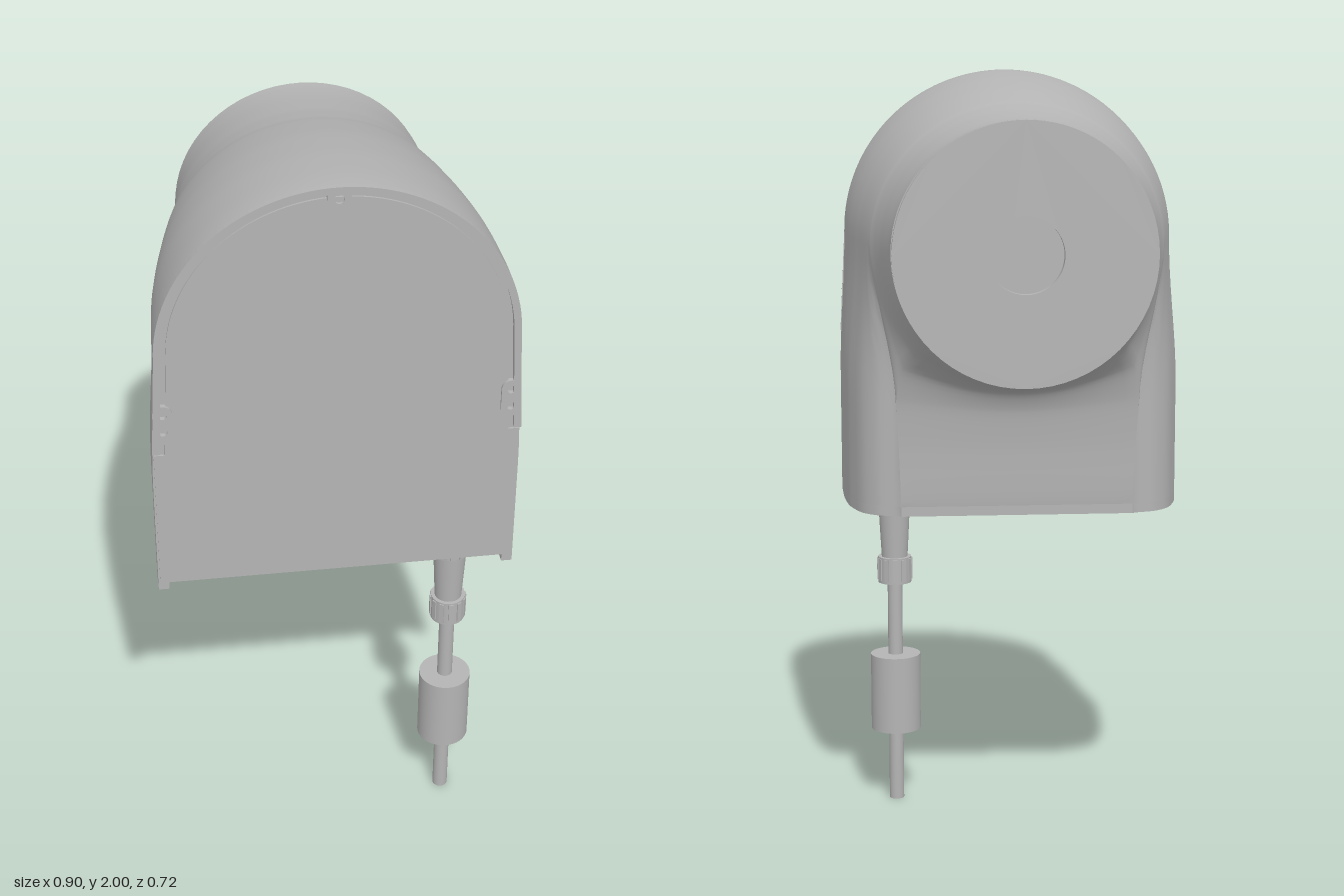
import * as THREE from 'three';
import { toCreasedNormals } from 'three/addons/utils/BufferGeometryUtils.js';

const grey = new THREE.MeshStandardMaterial({ color: 0xb4b4b4 });
grey.name = 'plain grey';

// Housing key sections: z, dome half-width, top y, base half-width, bottom y, squareness of lower half
const KEYS = [
  [0.345, 0.435, 2.0, 0.45, 0.895, 1],
  [0.2, 0.428, 1.988, 0.446, 0.895, 1],
  [0.07, 0.41, 1.967, 0.433, 0.895, 1],
  [0.02, 0.4, 1.957, 0.42, 0.895, 1],
  [-0.03, 0.39, 1.945, 0.4, 0.895, 1],
  [-0.07, 0.381, 1.935, 0.36, 0.895, 1],
  [-0.093, 0.375, 1.929, 0.3, 0.895, 1],
  [-0.1, 0.373, 1.927, 0.31, 1.05, 0.95],
  [-0.113, 0.368, 1.923, 0.335, 1.15, 0.75],
  [-0.14, 0.36, 1.917, 0.352, 1.197, 0.4],
  [-0.2, 0.346, 1.905, 0.345, 1.217, 0.1],
  [-0.34, 0.327, 1.89, 0.327, 1.238, 0],
];
const YC = 1.57;

// Smooth interpolation between key sections without overshoot
function slope(i, c) {
  if (i === 0 || i === KEYS.length - 1) return 0;
  const d = (j) => (KEYS[j + 1][c] - KEYS[j][c]) / (KEYS[j + 1][0] - KEYS[j][0]);
  const p = d(i - 1), q = d(i);
  return p * q <= 0 ? 0 : (2 * p * q) / (p + q);
}
function station(i, t) {
  const A = KEYS[i], B = KEYS[i + 1], h = B[0] - A[0];
  return A.map((v, c) => c === 0 ? v + h * t
    : v * (1 + 2 * t) * (1 - t) ** 2 + B[c] * t * t * (3 - 2 * t)
      + h * (slope(i, c) * t * (1 - t) ** 2 + slope(i + 1, c) * t * t * (t - 1)));
}
const STATIONS = [];
for (let i = 0; i < KEYS.length - 1; i++)
  for (let k = 0; k < 5; k++) STATIONS.push(station(i, k / 5));
STATIONS.push(KEYS[KEYS.length - 1]);

// One closed section: round dome above, square-to-round lower half
const N = 96;
function sectionPoint([z, a, top, w, bottom, k], j) {
  const t = (j / N) * Math.PI * 2, c = Math.cos(t), s = Math.sin(t);
  if (j <= N / 2) return [a * c, YC + (top - YC) * s, z];
  const m = Math.max(Math.abs(c), Math.abs(s));
  const u = THREE.MathUtils.lerp(c, c / m, k), v = THREE.MathUtils.lerp(-s, -s / m, k);
  const depth = (YC - bottom) * v;
  const width = THREE.MathUtils.lerp(a, w, THREE.MathUtils.smoothstep(depth, 0, 0.38));
  return [u * width, YC - depth, z];
}

function housingGeometry() {
  const pos = [], idx = [];
  for (const st of STATIONS) for (let j = 0; j < N; j++) pos.push(...sectionPoint(st, j));
  for (let i = 0; i < STATIONS.length - 1; i++)
    for (let j = 0; j < N; j++) {
      const a = i * N + j, b = i * N + (j + 1) % N;
      idx.push(a, a + N, b, b, a + N, b + N);
    }
  // front wall
  pos.push(0, 1.45, KEYS[0][0]);
  for (let j = 0; j < N; j++) idx.push(STATIONS.length * N, j, (j + 1) % N);
  const g = new THREE.BufferGeometry();
  g.setAttribute('position', new THREE.Float32BufferAttribute(pos, 3));
  g.setIndex(idx);
  return toCreasedNormals(g, 0.75);
}

const extrude = (shape, depth) =>
  new THREE.ExtrudeGeometry(shape, { depth, bevelEnabled: false, curveSegments: 32 });

function circleHole(shape, x, y, r) {
  shape.holes.push(new THREE.Path().absarc(x, y, r, 0, Math.PI * 2, true));
}

export function createModel() {
  const model = new THREE.Group();
  const add = (name, geo, x = 0, y = 0, z = 0) => {
    const m = new THREE.Mesh(geo, grey);
    m.name = name;
    m.position.set(x, y, z);
    model.add(m);
    return m;
  };

  add('housing', housingGeometry());

  // Front plate and the raised arch around it
  const plate = new THREE.Shape();
  plate.moveTo(-0.445, 0.895).lineTo(0.445, 0.895).lineTo(0.445, 1.29).lineTo(0.418, 1.29).lineTo(0.405, YC);
  plate.absellipse(0, YC, 0.405, 0.4, 0, Math.PI, false);
  plate.lineTo(-0.418, 1.29).lineTo(-0.445, 1.29);
  add('frontPlate', extrude(plate, 0.006), 0, 0, 0.344);

  const arch = new THREE.Shape();
  arch.moveTo(0.449, 1.3).lineTo(0.435, YC);
  arch.absellipse(0, YC, 0.435, 0.43, 0, Math.PI, false);
  arch.lineTo(-0.449, 1.3).lineTo(-0.431, 1.3).lineTo(-0.417, YC);
  arch.absellipse(0, YC, 0.417, 0.412, Math.PI, 0, true);
  arch.lineTo(0.431, 1.3);
  add('frontArch', extrude(arch, 0.016), 0, 0, 0.344);

  // Screw tabs on the arch
  for (const side of [-1, 1]) {
    const tab = new THREE.Shape();
    tab.absarc(0, 0.028, 0.024, 0, Math.PI, false);
    tab.absarc(0, -0.028, 0.024, Math.PI, Math.PI * 2, false);
    circleHole(tab, 0, 0.026, 0.011);
    circleHole(tab, 0, -0.022, 0.011);
    add('sideScrewTab', extrude(tab, 0.013), side * 0.42, 1.385, 0.344);
  }
  const topTab = new THREE.Shape();
  topTab.moveTo(-0.028, 0.018).lineTo(-0.028, 0);
  topTab.absarc(0, 0, 0.028, Math.PI, Math.PI * 2, false);
  topTab.lineTo(0.028, 0.018);
  circleHole(topTab, 0, -0.002, 0.012);
  add('topScrewTab', extrude(topTab, 0.013), 0, 1.97, 0.344);

  // Rear disc with a shallow centre recess
  const disc = new THREE.Shape().absarc(0, 0, 0.325, 0, Math.PI * 2, false);
  circleHole(disc, 0, 0, 0.095);
  add('rearDisc', toCreasedNormals(extrude(disc, 0.024), 0.5), 0, 1.565, -0.36);
  const floor = add('rearRecess', new THREE.CircleGeometry(0.1, 40), 0, 1.565, -0.337);
  floor.rotation.y = Math.PI;

  // Lip around the sides and back of the underside
  const half = STATIONS.filter((s) => s[0] >= -0.0931).map((s) => [s[3], s[0]]);
  const outer = [...half, ...half.map(([x, z]) => [-x, z]).reverse()];
  const inner = outer.map(([x, z]) => [x * 0.94, 0.345 + (z - 0.345) * 0.94]).reverse();
  const lip = new THREE.Shape([...outer, ...inner].map(([x, z]) => new THREE.Vector2(x, -z)));
  const lipGeo = extrude(lip, 0.026);
  lipGeo.rotateX(-Math.PI / 2);
  add('baseLip', toCreasedNormals(lipGeo, 0.5), 0, 0.87, 0);

  // Underside fittings
  for (const z of [0.225, 0.265]) add('slotRail', new THREE.BoxGeometry(0.36, 0.016, 0.008), 0.03, 0.889, z);
  for (const x of [-0.15, 0.21]) add('slotEnd', new THREE.BoxGeometry(0.008, 0.016, 0.048), x, 0.889, 0.245);
  add('latch', new THREE.BoxGeometry(0.09, 0.026, 0.04), -0.29, 0.884, 0.25);
  add('latchBase', new THREE.BoxGeometry(0.16, 0.012, 0.05), -0.32, 0.89, 0.25);
  add('roundPlug', new THREE.CylinderGeometry(0.04, 0.04, 0.032, 32), -0.3, 0.881, 0.01);
  add('sideBlock', new THREE.BoxGeometry(0.1, 0.014, 0.08), 0.29, 0.89, 0.05);

  // Cable with its connector and sleeve
  const rod = (name, rTop, rBottom, y0, y1, sides = 32) =>
    add(name, new THREE.CylinderGeometry(rTop, rBottom, y1 - y0, sides), 0.31, (y0 + y1) / 2, 0.245);
  rod('connectorNut', 0.044, 0.044, 0.835, 0.9);
  rod('connectorBody', 0.043, 0.035, 0.685, 0.836);
  rod('connectorRing', 0.045, 0.045, 0.618, 0.69);
  for (let i = 0; i < 12; i++) {
    const a = (i / 12) * Math.PI * 2;
    for (const [y, h] of [[0.866, 0.06], [0.656, 0.06]]) {
      const rib = add('gripRib', new THREE.BoxGeometry(0.012, h, 0.006),
        0.31 + 0.045 * Math.sin(a), y, 0.245 + 0.045 * Math.cos(a));
      rib.rotation.y = a;
    }
  }
  rod('cable', 0.02, 0.02, 0, 0.62);
  rod('cableSleeve', 0.068, 0.068, 0.203, 0.415, 40);

  return model;
}
